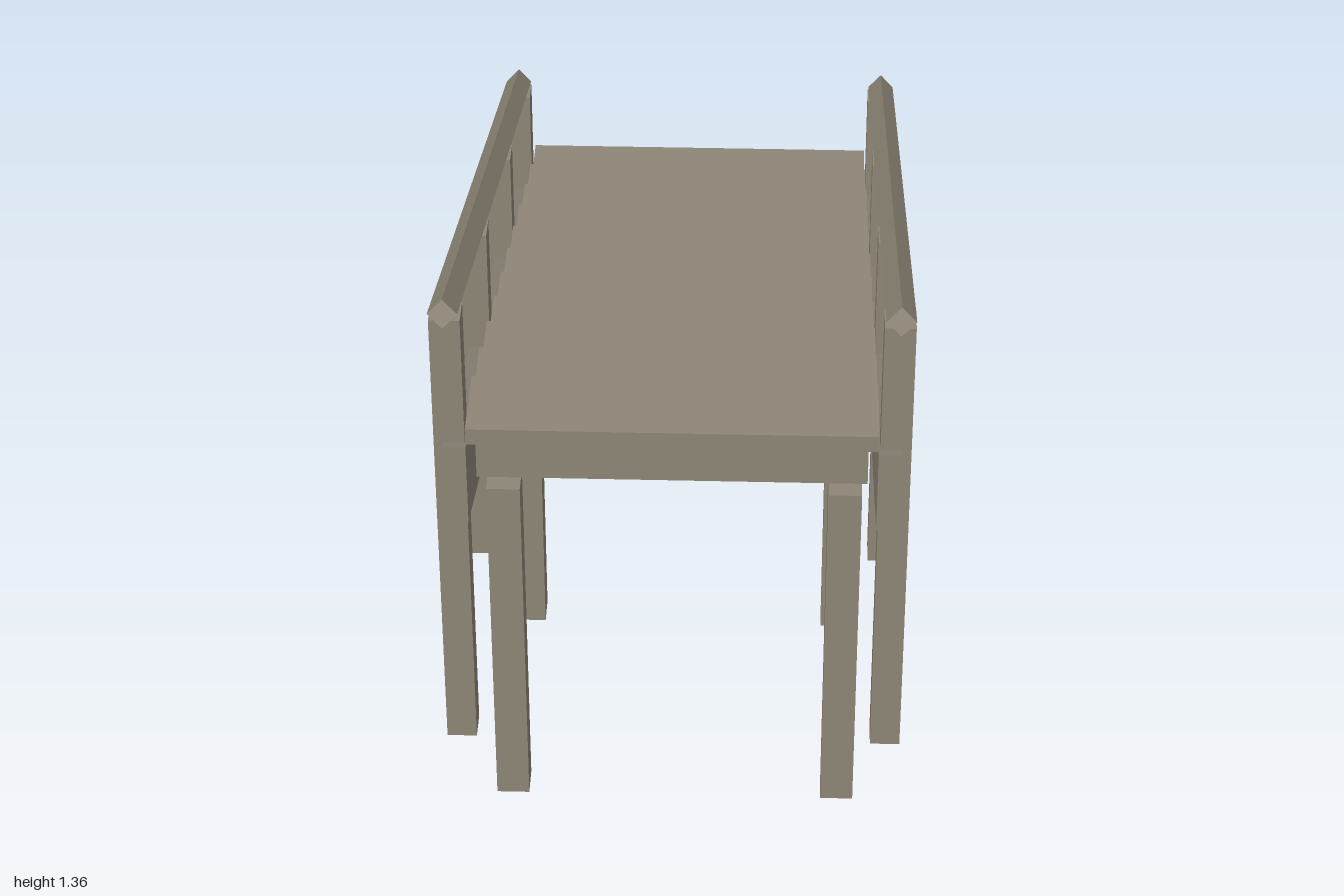
import * as THREE from 'three';

const wood = new THREE.MeshStandardMaterial({ color: 0x8e8677 });
wood.name = 'weathered wood';

export function createModel() {
  const model = new THREE.Group();
  model.name = 'staircase';

  // Box given by its lower and upper corner
  const box = (name, x0, x1, y0, y1, z0, z1) => {
    const mesh = new THREE.Mesh(new THREE.BoxGeometry(x1 - x0, y1 - y0, z1 - z0), wood);
    mesh.position.set((x0 + x1) / 2, (y0 + y1) / 2, (z0 + z1) / 2);
    mesh.name = name;
    model.add(mesh);
    return mesh;
  };

  // Treads, each with a board hanging under its high edge
  const count = 11, depth = 2 / count, rise = 0.061;
  for (let i = 0; i < count; i++) {
    const z = 1 - i * depth, top = 1.057 - i * rise;
    box('tread', -0.41, 0.41, top - 0.037, top, z - depth, z);
    box('riser', -0.39, 0.39, top - 0.117, top - 0.037, z - 0.02, z);
  }

  // Sloping side board outline, drawn in (z, y)
  const outline = new THREE.Shape([
    new THREE.Vector2(-1, 0.16), new THREE.Vector2(1, 0.825),
    new THREE.Vector2(1, 1.013), new THREE.Vector2(-1, 0.347),
  ]);

  for (const side of [-1, 1]) {
    const span = (a, b) => (side > 0 ? [a, b] : [-b, -a]);

    // Stringer
    const geo = new THREE.ExtrudeGeometry(outline, { depth: 0.048, bevelEnabled: false });
    geo.rotateY(-Math.PI / 2); // (z, y, depth) becomes (-depth, y, z)
    const stringer = new THREE.Mesh(geo, wood);
    stringer.position.x = side > 0 ? 0.458 : -0.41;
    stringer.name = 'stringer';
    model.add(stringer);

    // Railing posts
    [[0.94, 1.3], [0.327, 1.087], [-0.322, 0.86], [-0.938, 0.645]].forEach(([z, top]) =>
      box('railingPost', ...span(0.414, 0.476), 0.23, top, z - 0.032, z + 0.032));

    // Support legs
    [[0.857, 0.825], [0.278, 0.632], [-0.297, 0.441]].forEach(([z, top]) =>
      box('supportLeg', ...span(0.314, 0.383), 0, top, z - 0.034, z + 0.034));

    // Handrail: square bar set on its edge
    const dz = 1.978, dy = 0.687;
    const bar = new THREE.BoxGeometry(0.042, 0.042, Math.hypot(dz, dy));
    bar.rotateZ(Math.PI / 4);
    bar.rotateX(-Math.atan2(dy, dz));
    const rail = new THREE.Mesh(bar, wood);
    rail.position.set(side * 0.446, 0.984, 0);
    rail.name = 'handrail';
    model.add(rail);
  }
  return model;
}
